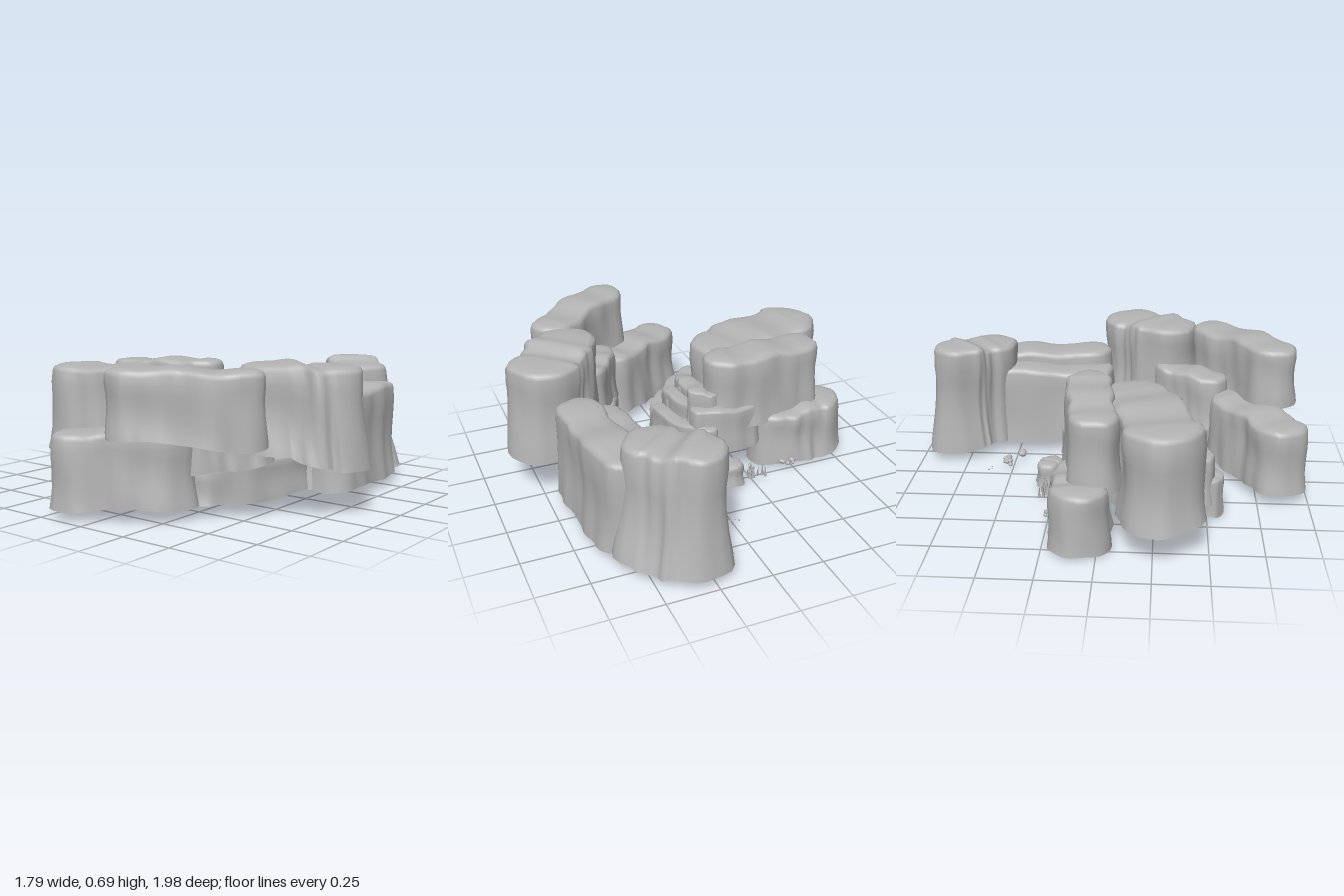
import * as THREE from 'three';

const stone = new THREE.MeshStandardMaterial({ color: 0xb4b4b4, side: THREE.DoubleSide });
stone.name = 'grey stone';

function seeded(seed) {
  let s = seed * 7919 + 13;
  return () => (s = (s * 16807) % 2147483647) / 2147483647;
}

// Height fraction, and how far each ring has blended from base width to top width
const RINGS = [[0, 0], [0.12, 0.3], [0.3, 0.75], [0.5, 1], [0.7, 1], [0.85, 0.85]];

// Cliff block: a fluted, round-ended shell following a path, open underneath.
// path: [x, z] points, half: base half width, bottom/top: heights at start and end, lean: [x, z] shift of the top
function cliff(name, path, half, bottom, top, seed, taper = 0.86, detail = 14, lean = [0, 0]) {
  const rnd = seeded(seed);
  for (let i = 0; i < 5; i++) rnd();
  const ph = Array.from({ length: 6 }, () => rnd() * Math.PI * 2);
  const curve = new THREE.CatmullRomCurve3(path.map(([x, z]) => new THREE.Vector3(x, 0, z)));

  // Outline samples: spine point, outward direction and position along the spine
  const outline = [];
  const add = (u, a) => {
    const p = curve.getPoint(u), t = curve.getTangent(u);
    const c = Math.cos(a), s = Math.sin(a);
    outline.push({ u, x: p.x, z: p.z, dx: -t.z * c + t.x * s, dz: t.x * c + t.z * s });
  };
  const cap = 12;
  for (let i = 0; i < detail; i++) add(i / detail, 0);
  for (let i = 0; i < cap; i++) add(1, (i / cap) * Math.PI);
  for (let i = 0; i < detail; i++) add(1 - i / detail, Math.PI);
  for (let i = 0; i < cap; i++) add(0, Math.PI + (i / cap) * Math.PI);

  const pos = [], idx = [], n = outline.length;
  const edge = Math.min(0.032, half * 0.3);
  const rows = RINGS.map(([h, b]) => ({ h, w: 1 + (taper - 1) * b, drop: 0 }));
  rows.push({ h: 1, w: taper, drop: edge }, { h: 1, w: taper * 0.95, drop: edge * 0.45 },
    { h: 1, w: taper * 0.82, drop: edge * 0.15 }, { h: 1, w: taper * 0.45, drop: 0 }, { h: 1, w: 0, drop: 0 });
  rows.forEach(({ h, w, drop }) => outline.forEach((o, j) => {
    const f = (j / n) * Math.PI * 2;
    const flute = 0.045 * Math.sin(5 * f + ph[0] + h) + 0.035 * Math.sin(9 * f + ph[1] - h * 1.5)
      + 0.025 * Math.sin(14 * f + ph[2] + h * 2) + 0.025 * Math.sin(h * 7 + ph[3] + 2 * f);
    const r = half * w * (1 + flute);
    const lo = THREE.MathUtils.lerp(bottom[0], bottom[1], o.u) + 0.008 * Math.sin(3 * f + ph[4]);
    const hi = THREE.MathUtils.lerp(top[0], top[1], o.u) + edge * 0.25 * Math.sin(o.u * 9 + ph[5]);
    pos.push(o.x + o.dx * r + lean[0] * h, Math.max(0, h < 1 ? lo + (hi - edge - lo) * h : hi - drop),
      o.z + o.dz * r + lean[1] * h);
  }));
  for (let k = 0; k < rows.length - 1; k++) {
    for (let j = 0; j < n; j++) {
      const a = k * n + j, b = k * n + (j + 1) % n;
      idx.push(a, b, a + n, b, b + n, a + n);
    }
  }
  const geo = new THREE.BufferGeometry();
  geo.setAttribute('position', new THREE.Float32BufferAttribute(pos, 3));
  geo.setIndex(idx);
  geo.computeVertexNormals();
  const mesh = new THREE.Mesh(geo, stone);
  mesh.name = name;
  return mesh;
}

function group(name, ...children) {
  const g = new THREE.Group();
  g.name = name;
  g.add(...children);
  return g;
}

// Scatter of small stones, or of thin upright shards
function scatter(name, x, z, spread, count, size, seed, shards = false) {
  const rnd = seeded(seed), g = new THREE.Group();
  g.name = name;
  for (let i = 0; i < 5; i++) rnd();
  for (let i = 0; i < count; i++) {
    const s = size * (0.6 + 0.6 * rnd());
    const geo = shards ? new THREE.ConeGeometry(s * 0.35, s * 3, 5) : new THREE.IcosahedronGeometry(s, 1);
    const m = new THREE.Mesh(geo, stone);
    m.name = shards ? 'shard' : 'pebble';
    m.position.set(x + (rnd() - 0.5) * spread * 2, 0.03 + (shards ? s * 1.5 : s * 0.6), z + (rnd() - 0.5) * spread);
    m.rotation.set((rnd() - 0.5) * 0.5, rnd() * 3, (rnd() - 0.5) * 0.5);
    if (!shards) m.scale.set(1, 0.75, 0.85);
    g.add(m);
  }
  return g;
}

export function createModel() {
  const model = new THREE.Group();
  model.name = 'cliffs';

  // Curved wall of stacked blocks on the +x side
  model.add(group('crescentWall',
    cliff('backTower', [[0.31, -0.82], [0.37, -0.76], [0.44, -0.67]], 0.175, [0.05, 0.06], [0.62, 0.59], 1, 0.77, 14, [-0.03, 0.03]),
    cliff('backWallInner', [[0.42, -0.6], [0.43, -0.3], [0.47, -0.1]], 0.13, [0.05, 0.05], [0.47, 0.44], 2, 0.86),
    cliff('backWallOuter', [[0.53, -0.58], [0.56, -0.35], [0.58, -0.11]], 0.125, [0.05, 0.05], [0.52, 0.51], 3, 0.85),
    cliff('middleUpper', [[0.55, 0.28], [0.63, 0.2], [0.7, 0.12]], 0.19, [0.29, 0.21], [0.69, 0.66], 4, 0.87, 14, [-0.02, 0]),
    cliff('middleLower', [[0.28, 0.5], [0.37, 0.3], [0.43, 0.04]], 0.095, [0.05, 0.05], [0.24, 0.25], 5, 0.88),
    cliff('middleLedge', [[0.28, 0.53], [0.34, 0.42], [0.41, 0.31]], 0.095, [0.2, 0.22], [0.48, 0.49], 6, 0.88),
    cliff('frontUpper', [[0.16, 0.83], [0.35, 0.7], [0.51, 0.55]], 0.125, [0.39, 0.34], [0.69, 0.67], 7, 0.89),
    cliff('frontLower', [[-0.14, 0.86], [0.02, 0.76], [0.18, 0.64]], 0.135, [0.05, 0.06], [0.39, 0.4], 8, 0.89),
  ));

  // Thick blocks on the -x side; the upper ones overhang
  model.add(group('sideCliffs',
    cliff('sideBackLower', [[-0.71, -0.08], [-0.6, -0.085], [-0.46, -0.09]], 0.14, [0.01, 0.01], [0.31, 0.29], 9, 0.88),
    cliff('sideBackUpper', [[-0.6, -0.02], [-0.4, -0.05], [-0.19, -0.07]], 0.125, [0.25, 0.25], [0.61, 0.63], 10, 0.88),
    cliff('sideFrontUpper', [[-0.69, 0.29], [-0.47, 0.23], [-0.28, 0.16]], 0.195, [0.16, 0.115], [0.6, 0.6], 11, 0.86),
  ));

  // Stepped ledges spiralling round the inner end: radius, half width, [bottom, top] from back to front
  const ledges = new THREE.Group();
  ledges.name = 'ledges';
  const arcs = [[-50, 5], [0, 48], [46, 92]];
  const steps = [
    [0.38, 0.047, [[0.14, 0.3], [0.07, 0.23], [0.02, 0.18]]],
    [0.31, 0.05, [[0.2, 0.38], [0.14, 0.33], [0.1, 0.28]]],
    [0.235, 0.06, [[0.24, 0.43], [0.2, 0.4], [0.16, 0.36]]],
  ];
  steps.forEach(([r, half, heights], i) => arcs.forEach(([a0, a1], j) => {
    const path = [a0, (a0 + a1) / 2, a1].map((d) => {
      const a = THREE.MathUtils.degToRad(d);
      return [-0.3 + r * Math.cos(a), 0.12 + r * 1.03 * Math.sin(a)];
    });
    const [lo, hi] = heights[j];
    ledges.add(cliff('ledge', path, half, [lo + 0.02, lo], [hi, hi - 0.02], 20 + i * 3 + j, 0.85));
  }));
  ledges.add(
    cliff('cornerStone', [[-0.37, 0.47], [-0.34, 0.46], [-0.29, 0.45]], 0.07, [0.08, 0.08], [0.32, 0.31], 31, 0.88, 6),
    cliff('cornerFoot', [[-0.37, 0.52], [-0.33, 0.53], [-0.27, 0.5]], 0.055, [0.01, 0.01], [0.2, 0.2], 32, 0.85, 6),
    cliff('topKnob', [[-0.09, -0.11], [-0.06, -0.1], [-0.02, -0.07]], 0.045, [0.25, 0.25], [0.45, 0.47], 33, 0.8, 6),
    cliff('backLedge', [[-0.29, -0.13], [-0.14, -0.15], [-0.03, -0.12]], 0.06, [0.15, 0.15], [0.37, 0.39], 34, 0.88),
  );
  model.add(ledges);

  // Free-standing stump
  model.add(cliff('stump', [[-0.13, -0.285], [-0.11, -0.28], [-0.09, -0.27]], 0.065, [0.03, 0.03], [0.14, 0.14], 40, 0.85, 4));

  // Loose stones and shards on the ground
  model.add(
    scatter('pebbles', 0.08, -0.52, 0.045, 8, 0.018, 50),
    scatter('pebbles', 0.165, -0.46, 0.012, 2, 0.022, 51),
    scatter('pebbles', 0, -0.605, 0.02, 3, 0.006, 52),
    scatter('pebbles', -0.47, -0.24, 0.04, 6, 0.016, 53),
    scatter('shards', -0.27, -0.29, 0.045, 12, 0.024, 54, true),
    scatter('pebbles', 0.16, -0.1, 0.02, 5, 0.015, 55),
    scatter('pebbles', 0.155, 0.09, 0.02, 5, 0.015, 56),
    scatter('pebbles', -0.1, 0.46, 0.035, 6, 0.015, 57),
  );
  return model;
}
